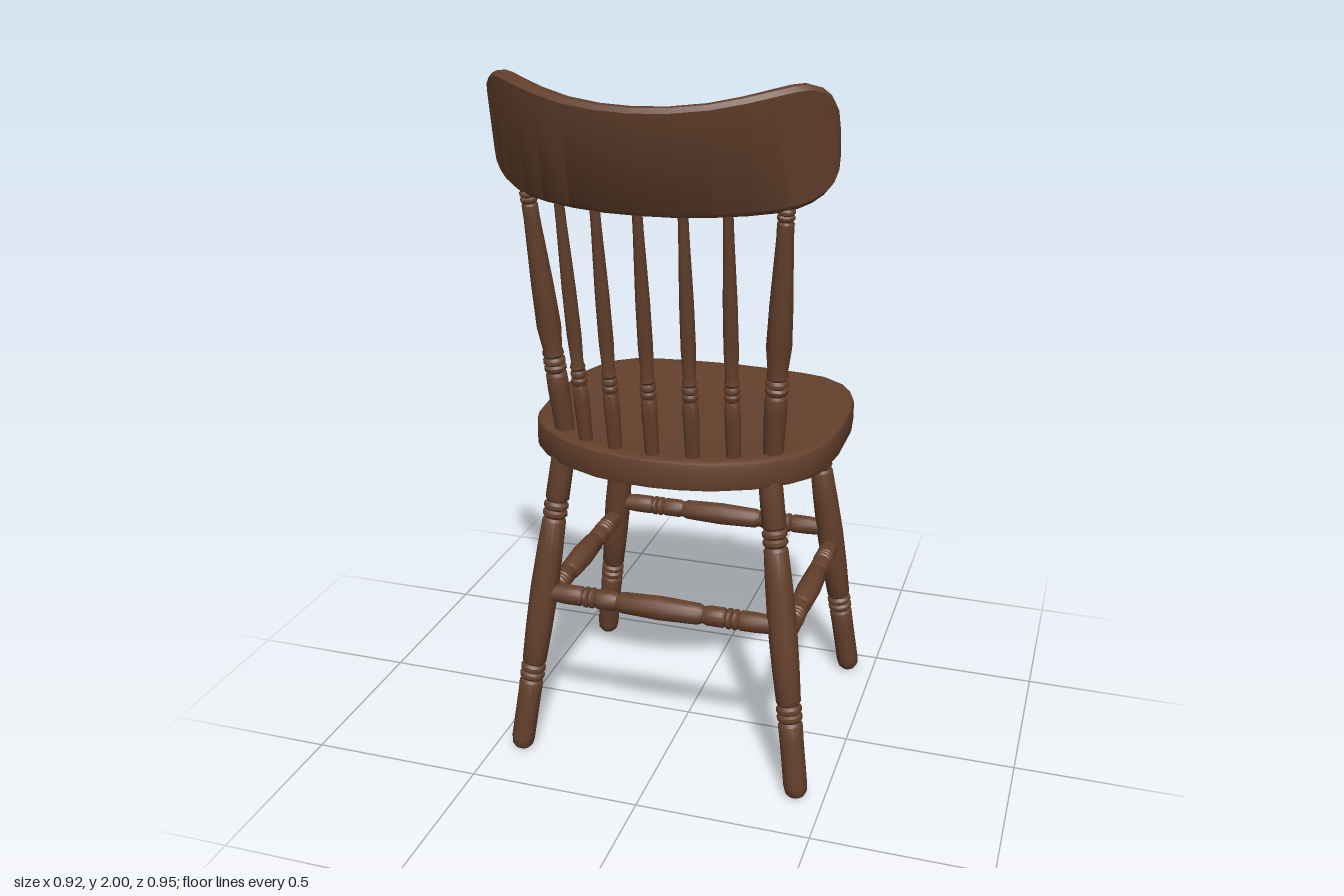
import * as THREE from 'three';
import { toCreasedNormals } from 'three/addons/utils/BufferGeometryUtils.js';

const wood = new THREE.MeshStandardMaterial({ color: 0x64402c });
wood.name = 'brown wood';

const V = (x, y, z) => new THREE.Vector3(x, y, z);

// Skin a list of closed rings of points; end rings are closed with a fan.
function loft(rings, crease) {
  const n = rings[0].length, pos = [], idx = [];
  rings.forEach(r => r.forEach(p => pos.push(p.x, p.y, p.z)));
  for (let i = 0; i < rings.length - 1; i++) {
    for (let j = 0; j < n; j++) {
      const a = i * n + j, b = i * n + (j + 1) % n, c = a + n, d = b + n;
      idx.push(a, c, b, b, c, d);
    }
  }
  const last = (rings.length - 1) * n;
  for (let j = 1; j < n - 1; j++) {
    idx.push(0, j, j + 1, last, last + j + 1, last + j);
  }
  const g = new THREE.BufferGeometry();
  g.setAttribute('position', new THREE.Float32BufferAttribute(pos, 3));
  g.setIndex(idx);
  return toCreasedNormals(g, crease);
}

// Turned bar from a to b; profile holds [radius, fraction of length].
function turned(name, a, b, profile) {
  const len = a.distanceTo(b);
  const pts = [[0, 0], ...profile, [0, 1]].map(([r, t]) => new THREE.Vector2(r, t * len));
  const g = toCreasedNormals(new THREE.LatheGeometry(pts, 14), 0.7);
  const m = new THREE.Mesh(g, wood);
  m.name = name;
  m.position.copy(a);
  m.quaternion.setFromUnitVectors(V(0, 1, 0), b.clone().sub(a).normalize());
  return m;
}

// A pair of narrow grooves around fraction t, at radius r.
const grooves = (t, r, w) => [
  [r, t - w * 2], [r * 0.82, t - w * 1.5], [r * 1.04, t - w], [r * 1.04, t - w * 0.4],
  [r * 0.82, t], [r * 1.04, t + w * 0.4], [r * 1.04, t + w], [r * 0.82, t + w * 1.5], [r, t + w * 2],
];

const legProfile = [
  [0.022, 0], [0.031, 0.012], [0.034, 0.035], [0.034, 0.18],
  ...grooves(0.27, 0.035, 0.018), [0.039, 0.42], [0.041, 0.55], [0.038, 0.68],
  ...grooves(0.82, 0.034, 0.018), [0.033, 1],
];
const stretcherProfile = [
  [0.024, 0], [0.029, 0.1], ...grooves(0.2, 0.029, 0.018), [0.029, 0.3],
  [0.024, 0.32], [0.031, 0.34], [0.035, 0.5], [0.031, 0.66], [0.024, 0.68], [0.029, 0.7],
  ...grooves(0.8, 0.029, 0.018), [0.029, 0.9], [0.024, 1],
];
const postProfile = [
  [0.027, 0], [0.031, 0.2], ...grooves(0.3, 0.03, 0.02), [0.027, 0.36],
  [0.034, 0.45], [0.031, 0.6], [0.022, 0.85], ...grooves(0.93, 0.022, 0.015), [0.022, 1],
];
const spindleProfile = [
  [0.019, 0], [0.022, 0.2], ...grooves(0.3, 0.021, 0.02), [0.017, 0.36],
  [0.02, 0.47], [0.019, 0.65], [0.014, 0.9], [0.013, 1],
];

function makeSeat() {
  // Half outline, front centre to back centre
  const half = [
    [0, -0.48], [0.13, -0.473], [0.243, -0.46], [0.314, -0.443], [0.372, -0.4], [0.405, -0.347],
    [0.426, -0.29], [0.44, -0.19], [0.441, -0.03], [0.428, 0.096], [0.4, 0.165], [0.355, 0.22],
    [0.27, 0.285], [0.167, 0.33], [0.08, 0.348], [0, 0.354],
  ];
  const outline = [...half, ...half.slice(1, -1).reverse().map(([x, z]) => [-x, z])];
  // Layers: [scale, height]; the top is slightly dished
  const layers = [
    [0.965, 0.915], [0.99, 0.918], [1, 0.93], [1, 0.98], [0.992, 0.994], [0.97, 1],
    [0.9, 0.998], [0.7, 0.991], [0.35, 0.987], [0.02, 0.986],
  ];
  const zc = -0.06;
  const rings = layers.map(([s, y]) => outline.map(([x, z]) => V(x * s, y, zc + (z - zc) * s)));
  const m = new THREE.Mesh(loft(rings, 0.75), wood);
  m.name = 'seat';
  return m;
}

// Middle surface of the curved, leaning back rail
const R = 0.61;
const railZ = (x, y) => Math.sqrt(R * R - x * x) - R + 0.425 + (y - 1.81) * 0.19;

function makeRail() {
  // Half stations: [x, bottom, top, half thickness]
  const half = [
    [0, 1.675, 1.947, 0.025], [0.09, 1.675, 1.95, 0.025], [0.18, 1.677, 1.959, 0.025],
    [0.26, 1.68, 1.974, 0.025], [0.32, 1.684, 1.988, 0.025], [0.365, 1.692, 1.998, 0.025],
    [0.395, 1.704, 2.0, 0.024], [0.42, 1.722, 1.99, 0.023], [0.438, 1.745, 1.97, 0.021],
    [0.449, 1.775, 1.94, 0.017], [0.455, 1.81, 1.895, 0.01],
  ];
  const stations = [...half.slice(1).reverse().map(([x, ...r]) => [-x, ...r]), ...half];
  const rings = stations.map(([x, lo, hi, t]) => {
    const b = Math.min(0.012, t * 0.5);
    const section = [
      [t, lo + b], [t, hi - b], [t - b, hi], [b - t, hi],
      [-t, hi - b], [-t, lo + b], [b - t, lo], [t - b, lo],
    ];
    return section.map(([dz, y]) => V(x + dz * x / R, y, railZ(x, y) + dz * Math.sqrt(1 - x * x / R / R)));
  });
  const m = new THREE.Mesh(loft(rings, 0.7), wood);
  m.name = 'backRail';
  return m;
}

export function createModel() {
  const chair = new THREE.Group();
  chair.name = 'chair';
  chair.add(makeSeat(), makeRail());

  // Splayed legs: foot and top centres
  const foot = { front: V(0.422, 0.004, -0.418), back: V(0.422, 0.004, 0.325) };
  const top = { front: V(0.3, 0.93, -0.31), back: V(0.3, 0.93, 0.22) };
  const onLeg = (end, side, y) => {
    const p = foot[end].clone().lerp(top[end], y / 0.93);
    p.x *= side;
    return p;
  };
  for (const side of [1, -1]) {
    const label = side > 0 ? 'left' : 'right';
    for (const end of ['front', 'back']) {
      chair.add(turned(`${label}_${end}_leg`, onLeg(end, side, 0.004), onLeg(end, side, 0.93), legProfile));
    }
    chair.add(turned(`${label}_stretcher`, onLeg('front', side, 0.47), onLeg('back', side, 0.47), stretcherProfile));
    // Thick outer posts of the back
    chair.add(turned(`${label}_backPost`, V(side * 0.3, 0.97, 0.195), V(side * 0.348, 1.73, railZ(0.348, 1.73)), postProfile));
  }
  chair.add(turned('front_stretcher', onLeg('front', -1, 0.525), onLeg('front', 1, 0.525), stretcherProfile));
  chair.add(turned('back_stretcher', onLeg('back', -1, 0.508), onLeg('back', 1, 0.508), stretcherProfile));

  // Thin inner spindles
  [[-0.215, -0.235, 0.255], [-0.118, -0.125, 0.287], [-0.008, -0.008, 0.3], [0.102, 0.108, 0.287], [0.207, 0.215, 0.255]]
    .forEach(([x0, x1, z0], i) => {
      chair.add(turned(`spindle_${i + 1}`, V(x0, 0.97, z0), V(x1, 1.7, railZ(x1, 1.7)), spindleProfile));
    });
  return chair;
}
